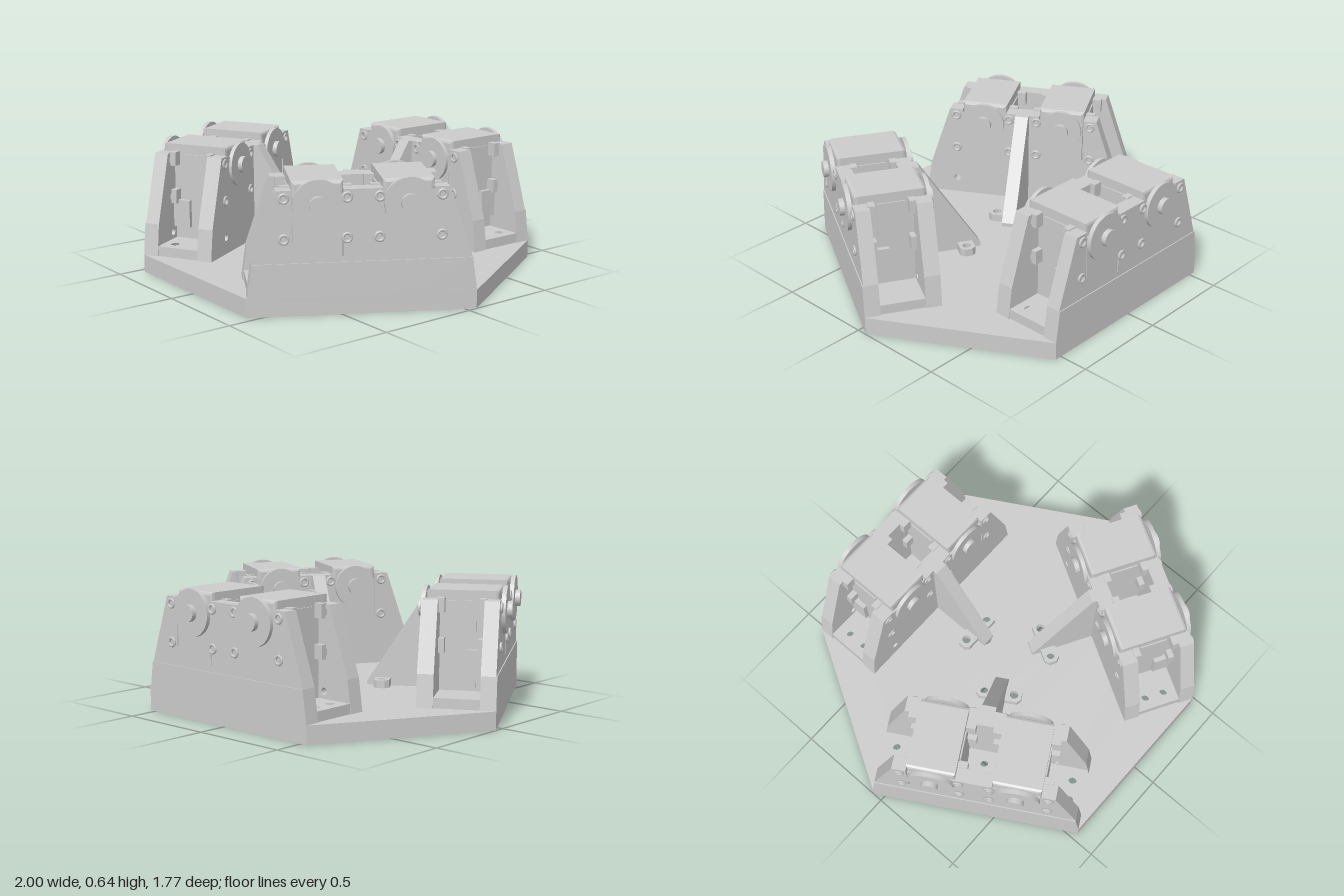
import * as THREE from 'three';

const CENTRE_Z = -0.007, BASE_H = 0.09, AXIS_Y = 0.525;
const OUT_Z = -0.843; // distance of a station's outer face from the centre
const material = new THREE.MeshStandardMaterial({ color: 0xcccccc });

function mesh(name, geometry, x = 0, y = 0, z = 0) {
  const m = new THREE.Mesh(geometry, material);
  m.name = name;
  m.position.set(x, y, z);
  return m;
}
const box = (name, w, h, d, x, y, z) => mesh(name, new THREE.BoxGeometry(w, h, d), x, y, z);

// Disc or pin whose axis runs along z
function pin(name, r, length, x, y, z, sides = 32) {
  return mesh(name, new THREE.CylinderGeometry(r, r, length, sides).rotateX(Math.PI / 2), x, y, z);
}

function outline(points, holes = []) {
  const s = new THREE.Shape(points.map(([x, y]) => new THREE.Vector2(x, y)));
  for (const [x, y, r] of holes) s.holes.push(new THREE.Path().absarc(x, y, r, 0, Math.PI * 2, true));
  return s;
}
const extrude = (shape, depth) =>
  new THREE.ExtrudeGeometry(shape, { depth, bevelEnabled: false, curveSegments: 10 });

// Flat slab given in (x, z), rising from y0
function slab(name, points, holes, y0, h) {
  const g = extrude(outline(points.map(([x, z]) => [x, -z]), holes.map(([x, z, r]) => [x, -z, r])), h);
  return mesh(name, g.rotateX(-Math.PI / 2), 0, y0, 0);
}
const mirrored = (pts) => [...pts, ...pts.map(([x, y]) => [-x, y]).reverse()];
const bothSides = (pts) => pts.flatMap(([x, y, r]) => [[x, y, r], [-x, y, r]]);

const floorHoles = [-0.46, 0, 0.46].flatMap((x) => [[x, -0.705, 0.022], [x, -0.605, 0.022]]);
const lugHoles = [[-0.08, -0.215, 0.022], [0.08, -0.215, 0.022]];
const screwSpots = [[0.365, 0.555], [0.075, 0.555], [0.365, 0.365], [0.075, 0.365]];
const lowHoles = bothSides([[0.365, 0.175, 0.018], [0.31, 0.13, 0.018], [0.085, 0.175, 0.018], [0.15, 0.13, 0.018]]);

// Upright plate with a slot for each servo
function slottedPlate(name, slotY, z0, z1, low) {
  const pts = mirrored([
    [0.535, BASE_H], [0.513, 0.25], [0.4, 0.59], [0.33, 0.59],
    [0.33, slotY], [0.09, slotY], [0.09, 0.59],
  ]);
  const holes = [...bothSides(screwSpots.map(([x, y]) => [x, y, 0.022])), ...low];
  return mesh(name, extrude(outline(pts, holes), z1 - z0), 0, 0, z0);
}

function createServo(x) {
  const g = new THREE.Group();
  g.name = 'servo';
  g.position.x = x;
  // Case with softened top edges
  const zMid = -0.652, b = 0.015;
  const shape = outline([[-0.12 + b, 0.14 + b], [0.12 - b, 0.14 + b], [0.12 - b, 0.63 - b], [-0.12 + b, 0.63 - b]]);
  const caseGeo = new THREE.ExtrudeGeometry(shape, {
    depth: 0.35 - 2 * b, bevelEnabled: true, bevelThickness: b, bevelSize: b, bevelSegments: 2,
  });
  g.add(mesh('servoCase', caseGeo, 0, 0, zMid - 0.175 + b));
  // Face panels filling the plate slots
  g.add(box('outerPanel', 0.23, 0.31, 0.02, 0, 0.405, -0.827));
  g.add(box('innerPanel', 0.23, 0.4, 0.02, 0, 0.36, -0.475));
  // Output horn, rear idler and their hubs
  g.add(pin('outerHorn', 0.117, 0.022, 0, AXIS_Y, -0.847));
  g.add(pin('outerHub', 0.042, 0.03, 0, AXIS_Y, -0.868, 20));
  g.add(pin('outerScrew', 0.022, 0.01, 0, AXIS_Y, -0.876, 6));
  g.add(pin('innerHorn', 0.11, 0.02, 0, AXIS_Y, -0.458));
  g.add(pin('innerHub', 0.042, 0.025, 0, AXIS_Y, -0.437, 20));
  // Mounting ears on both flanks, at two heights
  for (const s of [-1, 1]) {
    for (const y of [0.56, 0.365]) {
      for (const z of [-0.753, -0.553]) {
        g.add(box('mountingEar', 0.05, 0.07, 0.035, s * 0.142, y, z));
      }
    }
    g.add(box('sideRail', 0.014, 0.42, 0.14, s * 0.12, 0.37, zMid));
  }
  // Cable socket on the outward flank
  g.add(box('cableSocket', 0.04, 0.14, 0.09, Math.sign(x) * 0.13, 0.275, -0.717));
  return g;
}

function createStation() {
  const g = new THREE.Group();
  g.name = 'servoStation';

  // Bracket: two plates and a drilled floor between them
  g.add(slottedPlate('outerPlate', 0.25, OUT_Z + 0.005, -0.765, lowHoles));
  g.add(slottedPlate('innerPlate', 0.14, -0.543, -0.463, lowHoles.filter(([x]) => Math.abs(x) < 0.1 || Math.abs(x) > 0.35)));
  const skirt = mirrored([[0.535, BASE_H], [0.513, 0.25]]);
  g.add(mesh('outerSkirt', extrude(outline(skirt, lowHoles), 0.005), 0, 0, OUT_Z));
  g.add(slab('bracketFloor', [[-0.528, -0.765], [0.528, -0.765], [0.528, -0.543], [-0.528, -0.543]], floorHoles, BASE_H, 0.05));

  // Fixing screws with hollow heads, seated in the plates
  for (const [x, y] of bothSides(screwSpots)) {
    for (const [face, dir] of [[OUT_Z, -1], [-0.463, 1]]) {
      g.add(pin('screwShank', 0.022, 0.05, x, y, face - dir * 0.035, 12));
      g.add(mesh('screwRim', new THREE.TorusGeometry(0.02, 0.007, 6, 14), x, y, face));
    }
  }

  // Triangular brace behind the inner plate: profile in (z, y)
  const brace = extrude(outline([[-0.465, BASE_H], [-0.13, BASE_H], [-0.13, 0.11], [-0.44, 0.59], [-0.465, 0.59]]), 0.07);
  g.add(mesh('brace', brace.rotateY(-Math.PI / 2), 0.035, 0, 0));

  // Drilled lugs at the brace foot
  const lug = [[0.03, -0.255], [0.1, -0.255], [0.12, -0.235], [0.12, -0.195], [0.1, -0.175], [0.03, -0.175]];
  g.add(slab('rightLug', lug.map(([x, z]) => [-x, z]), [lugHoles[0]], BASE_H, 0.04));
  g.add(slab('leftLug', lug, [lugHoles[1]], BASE_H, 0.04));

  for (const s of [-1, 1]) g.add(createServo(s * 0.21));
  return g;
}

export function createModel() {
  const model = new THREE.Group();
  model.name = 'servoPlatform';
  const platform = new THREE.Group();
  platform.name = 'platform';
  platform.position.z = CENTRE_Z;
  model.add(platform);

  // Six-sided base with long and short sides, drilled under each station
  const corners = [], holes = [[0, -0.15, 0.03]];
  const up = new THREE.Vector3(0, 1, 0);
  for (let i = 0; i < 3; i++) {
    const angle = -i * Math.PI * 2 / 3;
    const turn = (x, z) => {
      const v = new THREE.Vector3(x, 0, z).applyAxisAngle(up, angle);
      return [v.x, v.z];
    };
    corners.push(turn(-0.535, OUT_Z), turn(0.535, OUT_Z));
    for (const [x, z, r] of [...floorHoles, ...lugHoles]) holes.push([...turn(x, z), r]);
    const station = createStation();
    station.rotation.y = angle;
    platform.add(station);
  }
  platform.add(slab('base', corners, holes, 0, BASE_H));
  return model;
}
